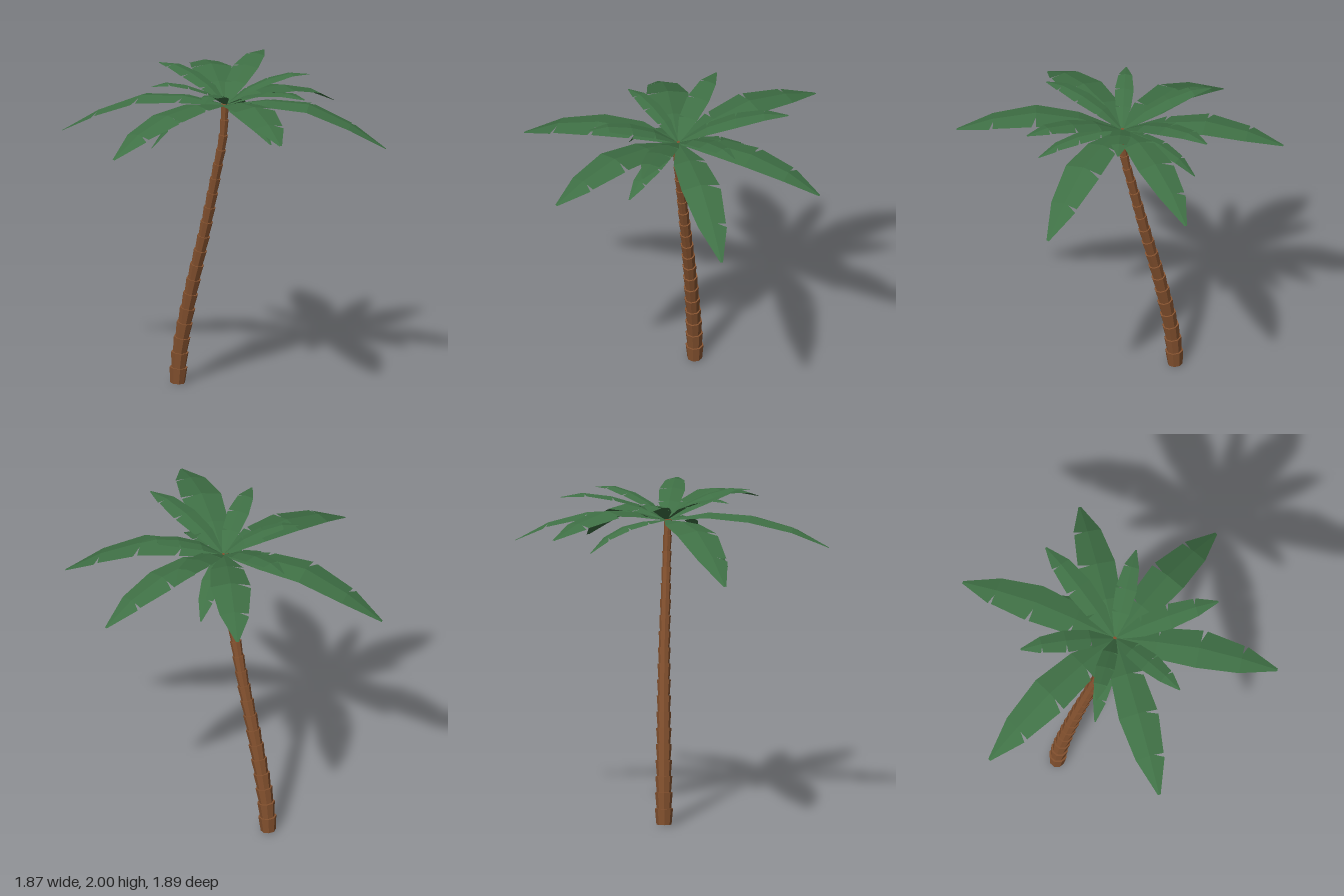
import * as THREE from 'three';

const bark = new THREE.MeshStandardMaterial({ color: 0x85522f, flatShading: true });
const green = new THREE.MeshStandardMaterial({ color: 0x3f7045, flatShading: true, side: THREE.DoubleSide });

const CROWN = new THREE.Vector3(0.055, 1.81, -0.04);
const STATIONS = [0, 0.26, 0.52, 0.78, 1];
const WIDTHS = [0.1, 0.83, 1, 0.73, 0.07];

// Heights above the crown at the five stations of a frond
const ARCH = [0, 0.08, 0.12, 0.075, 0];
const DROOP = [0, 0.035, 0.02, -0.095, -0.24];
const SLOPE = [0, 0.05, 0.035, -0.035, -0.15];
const RISE = [0, 0.09, 0.14, 0.165, 0.15];
const HANG = [0, 0, -0.03, -0.11, -0.24];

// Tip x, tip z, height profile
const FRONDS = {
  frond: [
    [0.235, -0.95, SLOPE], [0.93, -0.48, DROOP], [0.865, 0.555, ARCH],
    [-0.1, 0.94, SLOPE], [-0.93, 0.275, DROOP], [-0.635, -0.755, ARCH],
  ],
  upperFrond: [
    [-0.52, -0.165, RISE], [-0.11, -0.69, RISE.map(y => y * 1.16)], [0.385, -0.455, RISE],
    [0.7, 0.055, RISE], [0.25, 0.475, RISE], [-0.24, 0.325, RISE],
  ],
  lowerFrond: [
    [-0.245, 0.32, HANG], [-0.15, -0.51, HANG.map(y => y * 0.7)], [0.53, 0.17, HANG.map(y => y * 0.55)],
  ],
};

// Folded leaf blade with slits cut into its left half
function frondGeometry(tipX, tipZ, heights) {
  const dx = tipX - CROWN.x, dz = tipZ - CROWN.z;
  const length = Math.hypot(dx, dz);
  const side = new THREE.Vector3(dz / length, 0, -dx / length);
  const halfWidth = 0.122 * length;
  // Point on the blade: station i, s = -1 (right edge) to 1 (left edge), slit offset along the blade
  const point = (i, s, slit = 0) => {
    const at = k => new THREE.Vector3(dx * STATIONS[k], heights[k], dz * STATIONS[k]);
    const w = halfWidth * WIDTHS[i] * s;
    const p = at(i);
    if (slit) p.lerp(at(i + 1), slit);
    return p.addScaledVector(side, w).add(new THREE.Vector3(0, -0.18 * Math.abs(w), 0));
  };
  const positions = [];
  const quad = (a, b, c, d) => [a, b, c, a, c, d].forEach(p => positions.push(p.x, p.y, p.z));
  for (let i = 0; i < 4; i++) {
    const slit = i > 0 ? 0.1 : 0;
    quad(point(i, -1), point(i + 1, -1), point(i + 1, 0), point(i, 0));
    quad(point(i, 0), point(i + 1, 0), point(i + 1, 0.35), point(i, 0.35));
    quad(point(i, 0.35), point(i + 1, 0.35), point(i + 1, 1), point(i, 1, slit));
  }
  const geometry = new THREE.BufferGeometry();
  geometry.setAttribute('position', new THREE.Float32BufferAttribute(positions, 3));
  geometry.computeVertexNormals();
  return geometry;
}

// Leaning trunk of stacked rings, each flaring towards its top
function createTrunk() {
  const trunk = new THREE.Group();
  trunk.name = 'trunk';
  const path = new THREE.CatmullRomCurve3([
    [-0.32, 0, -0.07], [-0.302, 0.2, -0.07], [-0.217, 0.6, -0.067], [-0.11, 1, -0.06],
    [-0.012, 1.4, -0.046], [0.036, 1.6, -0.038], [0.055, 1.815, -0.03],
  ].map(p => new THREE.Vector3(...p)));
  const count = 19;
  const points = path.getSpacedPoints(count);
  const up = new THREE.Vector3(0, 1, 0);
  for (let i = 0; i < count; i++) {
    const axis = points[i + 1].clone().sub(points[i]);
    const r = THREE.MathUtils.lerp(0.046, 0.021, i / (count - 1));
    const ring = new THREE.Mesh(new THREE.CylinderGeometry(r * 1.2, r, axis.length(), 8), bark);
    ring.name = 'trunkRing';
    ring.position.copy(points[i]).addScaledVector(axis, 0.5);
    ring.quaternion.setFromUnitVectors(up, axis.normalize());
    trunk.add(ring);
  }
  return trunk;
}

export function createModel() {
  const palm = new THREE.Group();
  palm.name = 'palmTree';
  palm.add(createTrunk());

  // Three tiers of fronds spreading from the top of the trunk
  const crown = new THREE.Group();
  crown.name = 'crown';
  crown.position.copy(CROWN);
  for (const [name, fronds] of Object.entries(FRONDS)) {
    for (const frond of fronds) {
      const mesh = new THREE.Mesh(frondGeometry(...frond), green);
      mesh.name = name;
      crown.add(mesh);
    }
  }
  palm.add(crown);
  return palm;
}
